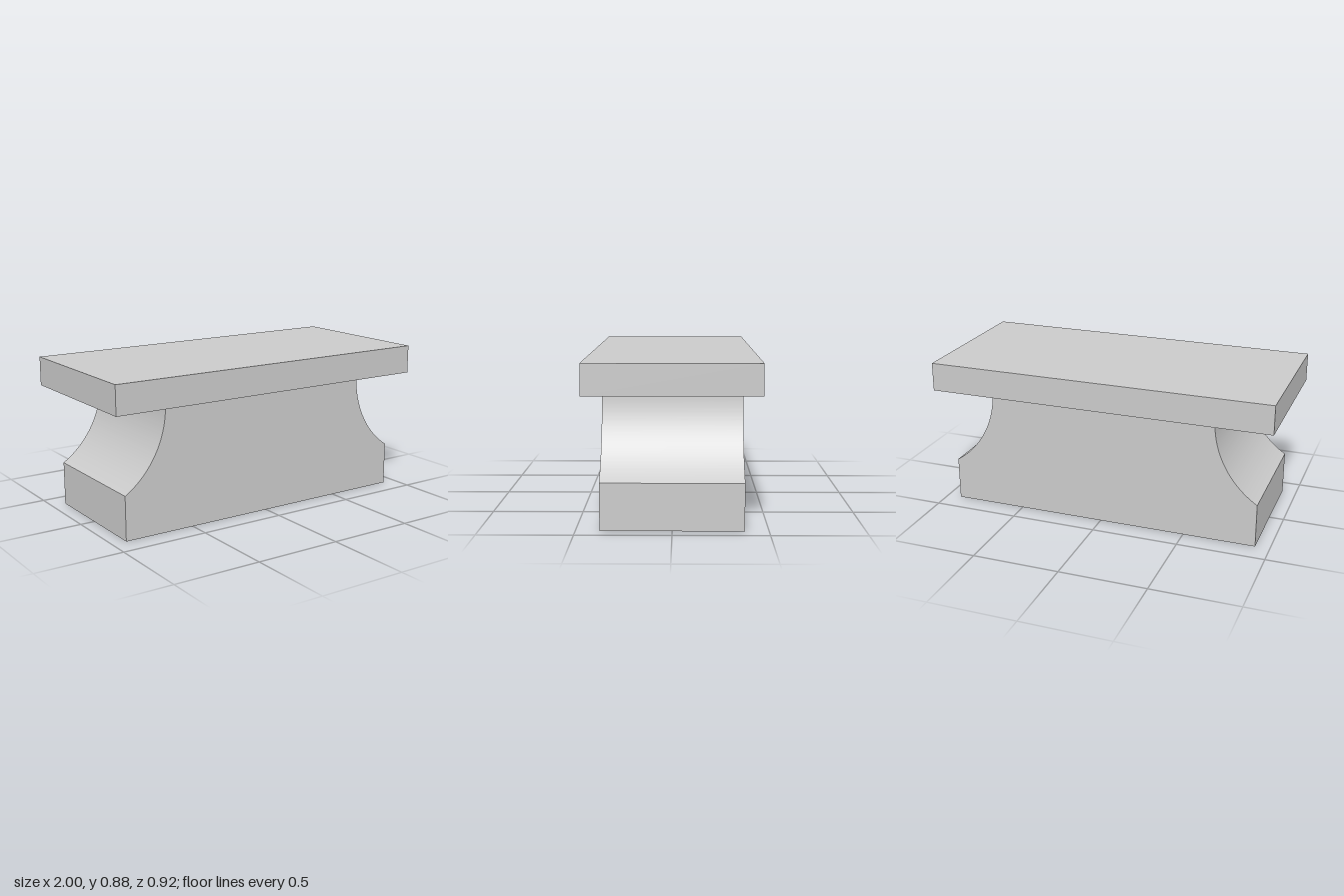
import * as THREE from 'three';
import { toCreasedNormals } from 'three/addons/utils/BufferGeometryUtils.js';

export function createModel() {
  const model = new THREE.Group();
  const material = new THREE.MeshStandardMaterial({ color: 0xcccccc });

  const top = 0.875, neckY = 0.71, shoulderY = 0.252;
  const baseHalf = 0.917, neckHalf = 0.663, baseDepth = 0.75;

  // Base: block whose ends are scooped by an arc, vertical where it meets the slab
  const run = baseHalf - neckHalf, rise = neckY - shoulderY;
  const radius = (run * run + rise * rise) / (2 * run);
  const centre = neckHalf + radius;
  const sweep = Math.asin(rise / radius);

  const profile = new THREE.Shape();
  profile.moveTo(-baseHalf, 0);
  profile.lineTo(baseHalf, 0);
  profile.lineTo(baseHalf, shoulderY);
  profile.absarc(centre, neckY, radius, Math.PI + sweep, Math.PI, true);
  profile.lineTo(-neckHalf, neckY);
  profile.absarc(-centre, neckY, radius, 0, -sweep, true);
  profile.closePath();

  const baseGeometry = new THREE.ExtrudeGeometry(profile, {
    depth: baseDepth, bevelEnabled: false, curveSegments: 32,
  });
  baseGeometry.translate(0, 0, -baseDepth / 2);
  const base = new THREE.Mesh(toCreasedNormals(baseGeometry, 0.4), material);
  base.name = 'scoopedBase';
  model.add(base);

  // Top slab, overhanging the base on all sides
  const slab = new THREE.Mesh(new THREE.BoxGeometry(2, top - neckY, 0.916), material);
  slab.name = 'topSlab';
  slab.position.y = (top + neckY) / 2;
  model.add(slab);

  return model;
}
